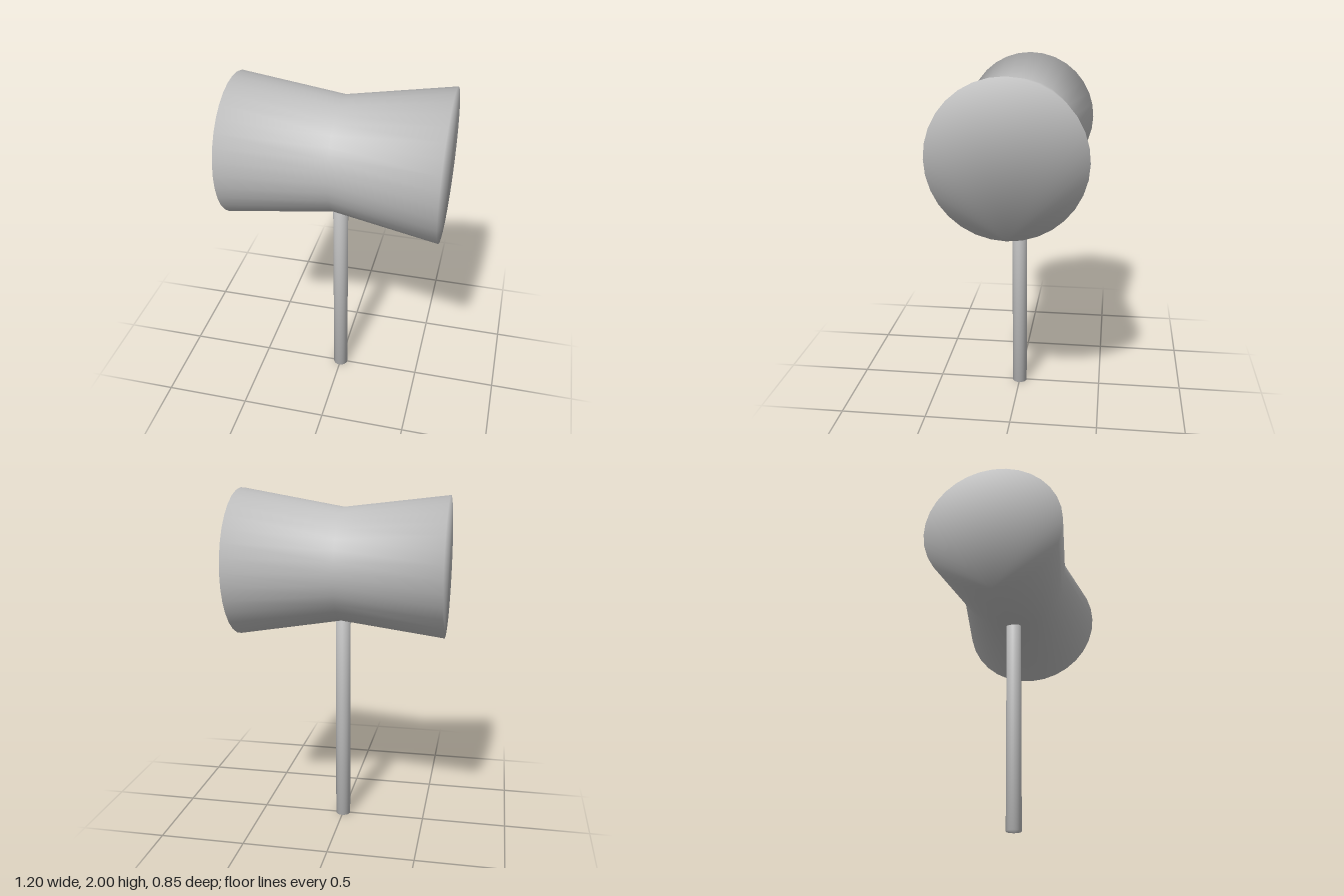
import * as THREE from 'three';

const SIDES = 32;

// Closed solid of revolution about y, softly shaded over its flat ends.
// Each ring is [height, radius, axial tilt of the normal].
function turnedSolid(rings) {
  const positions = [], normals = [], index = [];
  for (const [y, r, tilt] of rings) {
    const radial = Math.sqrt(1 - tilt * tilt);
    for (let j = 0; j < SIDES; j++) {
      const a = (j / SIDES) * Math.PI * 2;
      positions.push(r * Math.cos(a), y, r * Math.sin(a));
      normals.push(radial * Math.cos(a), tilt, radial * Math.sin(a));
    }
  }
  // side walls
  for (let i = 0; i < rings.length - 1; i++) {
    for (let j = 0; j < SIDES; j++) {
      const k = (j + 1) % SIDES;
      const a = i * SIDES + j, b = i * SIDES + k;
      index.push(a, a + SIDES, b, b, a + SIDES, b + SIDES);
    }
  }
  // flat end caps
  const top = (rings.length - 1) * SIDES;
  for (let j = 1; j < SIDES - 1; j++) {
    index.push(0, j, j + 1);
    index.push(top, top + j + 1, top + j);
  }
  const geometry = new THREE.BufferGeometry();
  geometry.setAttribute('position', new THREE.Float32BufferAttribute(positions, 3));
  geometry.setAttribute('normal', new THREE.Float32BufferAttribute(normals, 3));
  geometry.setIndex(index);
  return geometry;
}

export function createModel() {
  const model = new THREE.Group();
  model.name = 'mallet';
  const grey = new THREE.MeshStandardMaterial({ color: 0xc0c0c0 });
  grey.name = 'grey';

  // waisted head lying along x, slightly larger on its left end
  const head = new THREE.Mesh(
    turnedSolid([[-0.6, 0.4, -0.5], [0, 0.325, 0], [0.6, 0.425, 0.5]]), grey);
  head.name = 'head';
  head.rotation.z = -Math.PI / 2;
  head.position.y = 1.575;

  // straight round handle, its top set into the head
  const handle = new THREE.Mesh(
    turnedSolid([[0, 0.044, -0.3], [1.3, 0.044, 0.3]]), grey);
  handle.name = 'handle';

  model.add(head, handle);
  return model;
}
